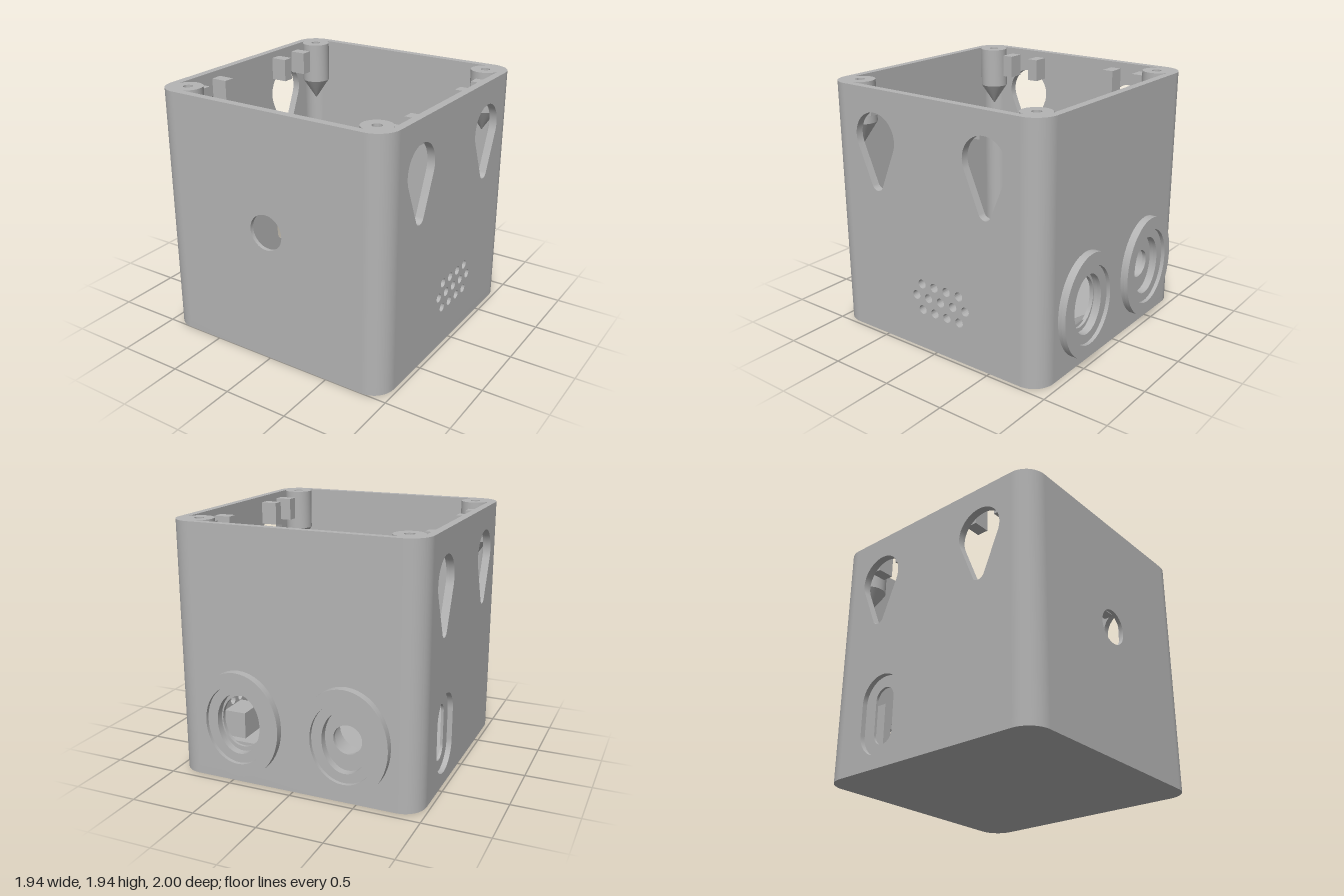
import * as THREE from 'three';
import { toCreasedNormals } from 'three/addons/utils/BufferGeometryUtils.js';

const HALF = 0.97, TOP = 1.94, WALL = 0.06, FLOOR = 0.06, R = 0.17;
const FLAT = HALF - R; // half width of the flat part of each wall

const grey = new THREE.MeshStandardMaterial({ color: 0xb4b4b4 });
grey.name = 'grey plastic';

function add(parent, name, geometry, x = 0, y = 0, z = 0) {
  const mesh = new THREE.Mesh(geometry, grey);
  mesh.name = name;
  mesh.position.set(x, y, z);
  parent.add(mesh);
  return mesh;
}

function extrude(shape, depth, holes = []) {
  shape.holes.push(...holes);
  const g = new THREE.ExtrudeGeometry(shape, { depth, bevelEnabled: false, curveSegments: 24 });
  return toCreasedNormals(g, 0.5);
}

function box(parent, name, x0, x1, y0, y1, z0, z1) {
  return add(parent, name, new THREE.BoxGeometry(x1 - x0, y1 - y0, z1 - z0),
    (x0 + x1) / 2, (y0 + y1) / 2, (z0 + z1) / 2);
}

// Outlines
function rect(x0, x1, y0, y1) {
  return new THREE.Shape([[x0, y0], [x1, y0], [x1, y1], [x0, y1]].map(p => new THREE.Vector2(...p)));
}

function ellipse(x, y, rx, ry = rx) {
  const s = new THREE.Shape();
  s.absellipse(x, y, rx, ry, 0, Math.PI * 2, false, 0);
  return s;
}

function stadium(x, y, r, halfHeight) {
  const s = new THREE.Shape(), h = halfHeight - r;
  s.absarc(x, y + h, r, 0, Math.PI, false);
  s.absarc(x, y - h, r, Math.PI, Math.PI * 2, false);
  s.closePath();
  return s;
}

function keyhole(x) {
  const s = new THREE.Shape(), a = 0.4;
  s.absarc(x, 1.573, 0.19, -a, Math.PI + a, false);
  s.absarc(x, 1.225, 0.055, Math.PI + a, Math.PI * 2 - a, false);
  s.closePath();
  return s;
}

// A wall made of layers, listed from the outer face inward
function wall(parent, name, angle, layers) {
  const g = new THREE.Group();
  g.name = name;
  g.rotation.y = angle;
  let z = HALF;
  for (const [thickness, holes] of layers) {
    z -= thickness;
    add(g, name + 'Panel', extrude(rect(-FLAT, FLAT, FLOOR, TOP), thickness, holes), 0, 0, z);
  }
  parent.add(g);
  return g;
}

export function createModel() {
  const model = new THREE.Group();
  model.name = 'enclosure';
  const body = new THREE.Group();
  body.name = 'body';
  body.position.z = 0.03;
  model.add(body);

  // Floor with rounded corners
  const base = new THREE.Shape();
  base.absarc(FLAT, FLAT, R, 0, Math.PI / 2, false);
  base.absarc(-FLAT, FLAT, R, Math.PI / 2, Math.PI, false);
  base.absarc(-FLAT, -FLAT, R, Math.PI, Math.PI * 1.5, false);
  base.absarc(FLAT, -FLAT, R, Math.PI * 1.5, Math.PI * 2, false);
  base.closePath();
  add(body, 'floor', extrude(base, FLOOR).rotateX(-Math.PI / 2));

  // Rounded wall corners
  for (let i = 0; i < 4; i++) {
    const s = new THREE.Shape();
    s.absarc(FLAT, FLAT, R, 0, Math.PI / 2, false);
    s.absarc(FLAT, FLAT, R - WALL, Math.PI / 2, 0, true);
    s.closePath();
    const g = extrude(s, TOP - FLOOR).rotateX(-Math.PI / 2).rotateY(i * Math.PI / 2);
    add(body, 'corner', g, 0, FLOOR, 0);
  }

  // Front wall: round opening with a rectangular recess on the inside
  wall(body, 'frontWall', 0, [
    [0.03, [ellipse(0, 1.04, 0.137)]],
    [0.03, [rect(-0.17, 0.17, 0.7, 1.38)]],
  ]);

  // Left wall (+x): hanging keyholes and a grille of small holes
  const grille = [];
  for (const [y, count] of [[0.53, 4], [0.427, 5], [0.32, 4]])
    for (let i = 0; i < count; i++)
      grille.push(ellipse(0.08 + (i - (count - 1) / 2) * 0.117, y, 0.035));
  wall(body, 'leftWall', Math.PI / 2, [[WALL, [keyhole(-0.505), keyhole(0.505), ...grille]]]);

  // Right wall (-x): hanging keyholes and a stepped slot
  wall(body, 'rightWall', -Math.PI / 2, [
    [0.04, [keyhole(-0.505), keyhole(0.505), stadium(-0.415, 0.41, 0.19, 0.31)]],
    [0.02, [keyhole(-0.505), keyhole(0.505), stadium(-0.415, 0.41, 0.09, 0.22)]],
  ]);

  // Back wall: two stepped oval sockets, one with a smaller opening
  const PX = 0.422, PY = 0.475;
  const back = wall(body, 'backWall', Math.PI, [
    [0.03, [-PX, PX].map(x => ellipse(x, PY, 0.175, 0.235))],
    [0.03, [ellipse(-PX, PY, 0.165, 0.2), ellipse(PX, PY, 0.11)]],
  ]);
  for (const x of [-PX, PX]) {
    add(back, 'socketRingInner', extrude(ellipse(x, PY, 0.335, 0.405), 0.03,
      [ellipse(x, PY, 0.175, 0.235)]), 0, 0, HALF);
    add(back, 'socketRingOuter', extrude(ellipse(x, PY, 0.335, 0.405), 0.03,
      [ellipse(x, PY, 0.255, 0.305)]), 0, 0, HALF + 0.03);
  }
  // Housing behind the smaller socket
  add(back, 'socketHousing', extrude(rect(0.22, 0.64, 0.27, 0.68), 0.18,
    [ellipse(PX, PY, 0.15)]), 0, 0, HALF - WALL - 0.18);

  // Screw posts with tapered undersides
  const profile = [[0, 1.45], [0.112, 1.62], [0.112, TOP], [0.036, TOP], [0.036, 1.7], [0, 1.7]]
    .map(p => new THREE.Vector2(...p));
  const post = toCreasedNormals(new THREE.LatheGeometry(profile, 32), 0.5);
  for (const x of [-0.8, 0.8])
    for (const z of [-0.805, 0.805]) add(body, 'screwPost', post, x, 0, z);

  // Pairs of blocks above each keyhole
  for (const s of [-1, 1])
    for (const t of [-1, 1])
      for (const z of [0.375, 0.64]) {
        add(body, 'keyholeBlock', new THREE.BoxGeometry(0.13, 0.18, 0.09), s * 0.845, 1.8, t * z);
      }

  // Bracket on the floor beside the grille
  box(body, 'grilleBracket', 0.725, 0.915, FLOOR, 0.28, -0.39, -0.13);
  box(body, 'grilleBracketArm', 0.725, 0.82, FLOOR, 0.28, -0.13, 0.215);

  // Sloped ramp below the larger socket, with a side rib
  const ramp = new THREE.Shape([[0.61, FLOOR], [0.92, FLOOR], [0.92, 0.3]]
    .map(p => new THREE.Vector2(...p)));
  add(body, 'ramp', extrude(ramp, 0.63).rotateY(Math.PI / 2), 0.26, 0, 0);
  const rib = new THREE.Shape([[0.54, FLOOR], [0.92, FLOOR], [0.92, 0.32]]
    .map(p => new THREE.Vector2(...p)));
  add(body, 'rampRib', extrude(rib, 0.05).rotateY(Math.PI / 2), 0.26, 0, 0);

  return model;
}
